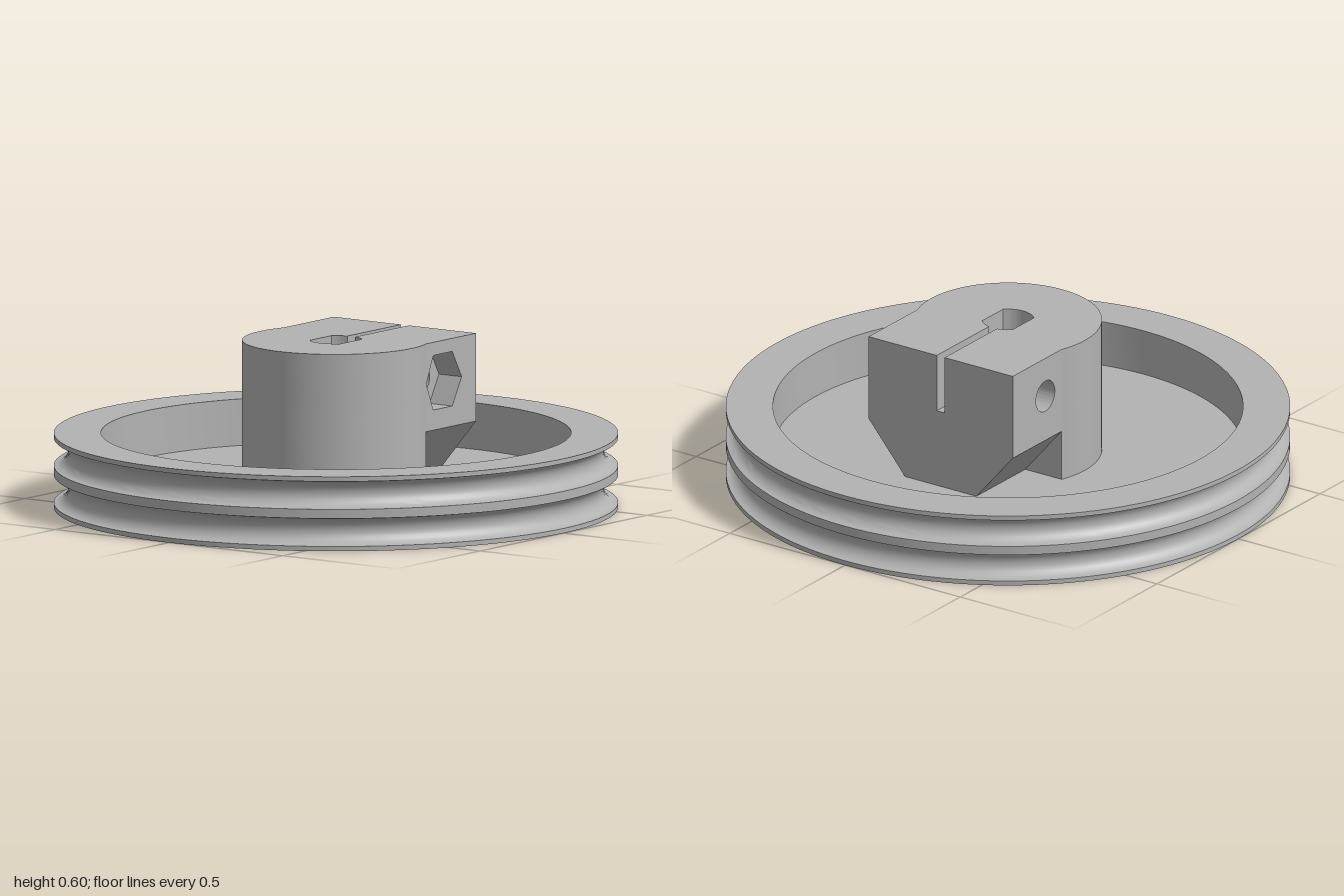
import * as THREE from 'three';
import { toCreasedNormals } from 'three/addons/utils/BufferGeometryUtils.js';

const H = 0.267, FLOOR = 0.1, TOP = 0.6;            // wheel rim, recess floor, hub top
const HUB_R = 0.333, BLOCK_X = 0.413, BLOCK_Z = 0.313;
const CHAMFER_Y = 0.285, SLOT_Y = 0.387, BORE_Y = 0.4, SLOT = 0.017;
const BORE_R = 0.093, BORE_FLAT = 0.067;
const JOIN_X = Math.sqrt(HUB_R ** 2 - BLOCK_Z ** 2); // where the round hub meets the block
const BOLT = [0.213, 0.455];

export function createModel() {
  const model = new THREE.Group();
  const grey = new THREE.MeshStandardMaterial({ color: 0xb2b2b2 });
  grey.name = 'grey';

  const add = (name, geometry, parent) => {
    const mesh = new THREE.Mesh(toCreasedNormals(geometry, 0.5), grey);
    mesh.name = name;
    parent.add(mesh);
    return mesh;
  };
  const extrude = (shape, depth) =>
    new THREE.ExtrudeGeometry(shape, { depth, bevelEnabled: false, curveSegments: 48 });

  // Double-grooved wheel with a recessed upper face
  const profile = [[0, 0], [1, 0]];
  for (const y of [0.067, 0.2]) {
    for (let i = 0; i <= 14; i++) {
      const a = -Math.PI / 2 + (i / 14) * Math.PI;
      profile.push([1 - 0.05 * Math.cos(a), y + 0.05 * Math.sin(a)]);
    }
  }
  profile.push([1, H], [0.833, H], [0.833, FLOOR], [0, FLOOR]);
  add('pulleyWheel', new THREE.LatheGeometry(profile.map(p => new THREE.Vector2(...p)), 128), model);

  const hub = new THREE.Group();
  hub.name = 'clampHub';
  model.add(hub);

  // Round hub in three layers: solid, slotted, slotted with the flat-sided bore
  const hubShape = cut => {
    const a = Math.asin(BLOCK_Z / HUB_R);
    const s = new THREE.Shape();
    s.moveTo(JOIN_X, BLOCK_Z);
    s.absarc(0, 0, HUB_R, a, 2 * Math.PI - a, false);
    if (cut) {
      s.lineTo(JOIN_X, -SLOT);
      cut(s);
      s.lineTo(JOIN_X, SLOT);
    }
    s.closePath();
    return s;
  };
  const slotCut = s => s.lineTo(0, -SLOT).lineTo(0, SLOT);
  const boreCut = s => {
    const b = Math.asin(BORE_FLAT / BORE_R), c = Math.asin(SLOT / BORE_R);
    s.absarc(0, 0, BORE_R, -c, -b, true);
    s.absarc(0, 0, BORE_R, Math.PI + b, Math.PI - b, true);
    s.absarc(0, 0, BORE_R, b, c, true);
  };
  for (const [name, cut, y0, y1] of [
    ['hubBase', null, FLOOR, SLOT_Y],
    ['hubSlotLayer', slotCut, SLOT_Y, BORE_Y],
    ['hubBoreLayer', boreCut, BORE_Y, TOP],
  ]) {
    add(name, extrude(hubShape(cut), y1 - y0).rotateX(-Math.PI / 2).translate(0, y0, 0), hub);
  }

  // Clamp jaws, pierced by the bolt hole; the front one has a hexagonal nut pocket
  const jaw = (name, z0, z1, hex) => {
    const s = new THREE.Shape();
    s.moveTo(JOIN_X, CHAMFER_Y);
    s.lineTo(BLOCK_X, CHAMFER_Y).lineTo(BLOCK_X, TOP).lineTo(JOIN_X, TOP).closePath();
    const hole = new THREE.Path();
    if (hex) {
      const pts = [];
      for (let i = 0; i < 6; i++) {
        const a = -i * Math.PI / 3;
        pts.push(new THREE.Vector2(BOLT[0] + 0.113 * Math.cos(a), BOLT[1] + 0.113 * Math.sin(a)));
      }
      // keep the pocket just clear of the joint with the round hub
      pts[3].x = Math.max(pts[3].x, JOIN_X + 0.001);
      hole.setFromPoints(pts).closePath();
    } else {
      hole.absarc(BOLT[0], BOLT[1], 0.058, 0, Math.PI * 2, true);
    }
    s.holes.push(hole);
    add(name, extrude(s, z1 - z0).translate(0, 0, z0), hub);
  };
  jaw('backJaw', -BLOCK_Z, -SLOT, false);
  jaw('frontJaw', SLOT, 0.213, false);
  jaw('nutPocketJaw', 0.213, BLOCK_Z, true);

  // Web joining the jaws below the slot
  const web = new THREE.BoxGeometry(BLOCK_X - JOIN_X, SLOT_Y - CHAMFER_Y, 2 * SLOT);
  add('jawWeb', web.translate((BLOCK_X + JOIN_X) / 2, (SLOT_Y + CHAMFER_Y) / 2, 0), hub);

  // Tapered foot under the block
  const foot = new THREE.Shape();
  foot.moveTo(-0.155, FLOOR);
  foot.lineTo(0.155, FLOOR).lineTo(BLOCK_Z, CHAMFER_Y).lineTo(-BLOCK_Z, CHAMFER_Y).closePath();
  add('taperedFoot', extrude(foot, BLOCK_X).rotateY(Math.PI / 2), hub);

  return model;
}
